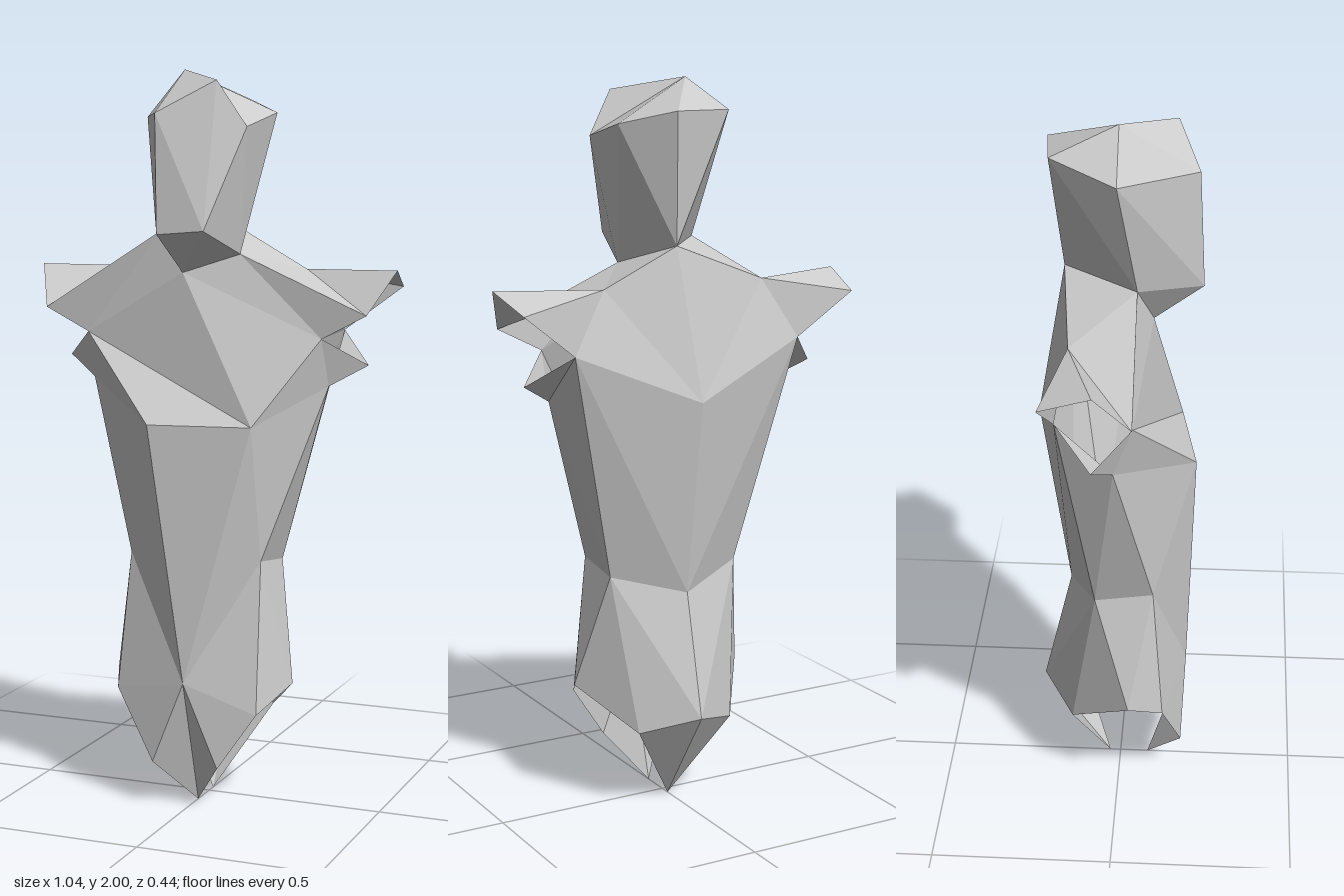
import * as THREE from 'three';

const material = new THREE.MeshStandardMaterial({ color: 0xcccccc, flatShading: true, side: THREE.DoubleSide });
const v = (x, y, z) => new THREE.Vector3(x, y, z);

// Collects faceted triangles; flip reverses them for the mirrored side
class Facets {
  constructor() { this.points = []; }
  tri(a, b, c, flip = false) {
    if (a === b || b === c || a === c) return;
    this.points.push(...(flip ? [a, c, b] : [a, b, c]));
  }
  fan(centre, rim, flip) {
    for (let i = 0; i + 1 < rim.length; i++) this.tri(centre, rim[i], rim[i + 1], flip);
  }
  zigzag(path, flip = false) {
    for (let i = 0; i + 2 < path.length; i++) this.tri(path[i], path[i + 1], path[i + 2], flip !== (i % 2 === 1));
  }
  loft(upper, lower) {
    upper.forEach((u, i) => {
      const j = (i + 1) % upper.length;
      this.tri(u, lower[i], lower[j]);
      this.tri(u, lower[j], upper[j]);
    });
  }
  mesh(name) {
    const geometry = new THREE.BufferGeometry().setFromPoints(this.points);
    geometry.computeVertexNormals();
    const mesh = new THREE.Mesh(geometry, material);
    mesh.name = name;
    return mesh;
  }
}

export function createModel() {
  const model = new THREE.Group();
  model.name = 'lowPolyBust';

  // Neck ring shared by the head and shoulders
  const neckFront = v(-0.04, 1.46, 0.09), neckBack = v(0.04, 1.57, -0.15);
  const neckLeft = v(0.11, 1.51, 0.05), neckRight = v(-0.12, 1.57, 0.05);

  // Head: crown fan, sides lofted from brow to jaw, then the underside of the chin
  const head = new Facets();
  const crown = v(-0.07, 2, 0);
  const chinA = v(-0.06, 1.565, 0.22), chinB = v(0.07, 1.575, 0.215);
  const brow = [
    v(-0.07, 1.88, 0.205), v(0.08, 1.965, 0.145), v(0.155, 1.845, 0.12), v(0.17, 1.885, -0.07),
    v(0.06, 1.92, -0.19), v(-0.1, 1.92, -0.175), v(-0.18, 1.875, 0),
  ];
  const jaw = [chinA, chinB, chinB, neckLeft, neckBack, neckBack, neckRight];
  head.fan(crown, [...brow, brow[0]]);
  head.loft(brow, jaw);
  head.fan(neckFront, [neckLeft, chinB, chinA, neckRight]);
  model.add(head.mesh('head'));

  // Points on the centre line
  const spine = v(0, 1.16, -0.22), spineWaist = v(0, 0.62, -0.14), tail = v(0, 0.28, -0.22);
  const belly = v(0, 0.355, 0.19), frontTip = v(0, 0, 0.08), backTip = v(0, 0, -0.03);

  // Points of one side; the chest and hip differ a little between sides
  const sidePoints = (s) => ({
    flip: s < 0,
    neck: s > 0 ? neckLeft : neckRight,
    chest: s > 0 ? v(0.185, 1.06, 0.165) : v(-0.095, 1.06, 0.21),
    hipFront: s > 0 ? v(0.2, 0.28, 0.16) : v(-0.22, 0.31, 0.13),
    armFront: v(s * 0.34, 1.29, 0.05),
    armBack: v(s * 0.34, 1.3, -0.15),
    armpit: v(s * 0.345, 1.16, 0),
    underarm: v(s * 0.44, 1.215, -0.05),
    shoulder: v(s * 0.24, 1.465, -0.12),
    sleeve: [v(s * 0.465, 1.355, 0.055), v(s * 0.52, 1.47, -0.04), v(s * 0.497, 1.42, -0.178)],
    waistFront: v(s * 0.19, 0.69, 0.1),
    waistBack: v(s * 0.195, 0.67, -0.06),
    hip: v(s * 0.26, 0.345, 0.035),
    hipBack: v(s * 0.145, 0.235, -0.13),
    apron: v(s * 0.095, 0.125, 0.18),
  });
  const left = sidePoints(1), right = sidePoints(-1);

  const shoulders = new Facets(), trunk = new Facets(), hips = new Facets();
  const frontFlap = new Facets(), backFlap = new Facets();

  // Chest panel running down to the belly
  trunk.fan(left.chest, [left.armFront, neckFront, right.armFront, right.chest, belly]);

  for (const p of [left, right]) {
    const { flip } = p;
    // Shoulder cap and upper back around the shoulder point, then the collar
    shoulders.fan(p.shoulder, [neckBack, p.neck, ...p.sleeve, p.armBack, spine, neckBack], flip);
    shoulders.fan(p.armFront, [p.sleeve[0], p.neck, neckFront], flip);
    // Pointed lower edge of the open arm hole
    trunk.fan(p.underarm, [p.armFront, p.armpit, p.armBack], flip);
    trunk.fan(p.chest, [p.armpit, p.armFront], flip);
    // Ribs from the chest round to the spine
    trunk.zigzag([p.chest, belly, p.chest, p.waistFront, p.armpit, p.waistBack, p.armBack, spineWaist, spine], flip);
    // Waist to hips
    hips.zigzag([belly, p.hipFront, p.waistFront, p.hip, p.waistBack, p.hipBack, p.waistBack, tail, spineWaist], flip);
    // Pointed flaps below the hips
    frontFlap.fan(belly, [frontTip, p.apron, p.hipFront], flip);
    backFlap.fan(tail, [p.hipBack, backTip], flip);
  }

  model.add(
    shoulders.mesh('shoulders'), trunk.mesh('trunk'), hips.mesh('hips'),
    frontFlap.mesh('frontFlap'), backFlap.mesh('backFlap'),
  );
  return model;
}
